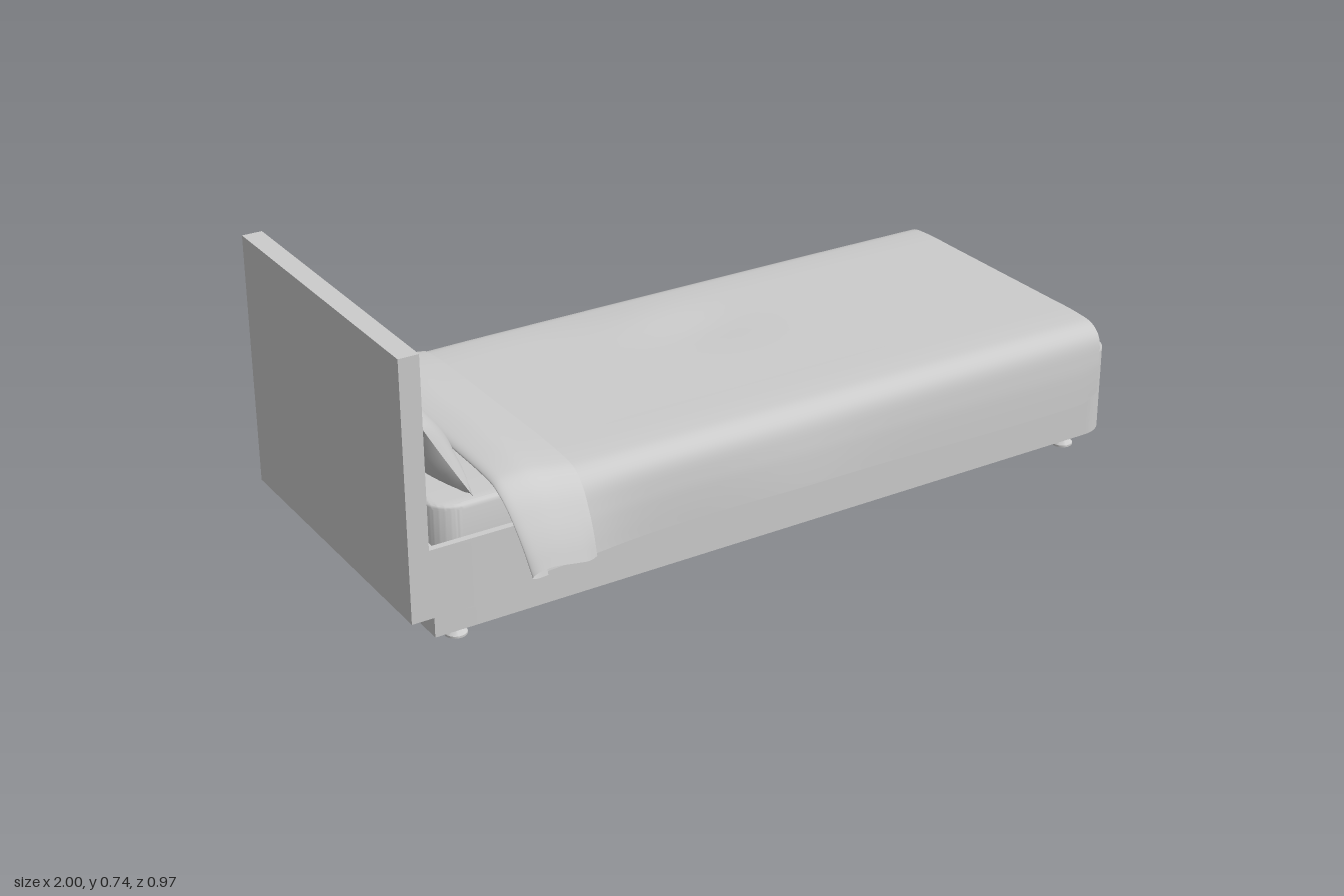
import * as THREE from 'three';
import { mergeGeometries, toCreasedNormals } from 'three/addons/utils/BufferGeometryUtils.js';

const ZC = -0.005; // bed centre line

export function createModel() {
  const bed = new THREE.Group();
  bed.name = 'bed';
  const grey = new THREE.MeshStandardMaterial({ color: 0xcccccc });
  const cloth = new THREE.MeshStandardMaterial({ color: 0xcccccc, side: THREE.DoubleSide });

  const add = (name, geo, x = 0, y = 0, z = 0, mat = grey) => {
    const m = new THREE.Mesh(geo, mat);
    m.name = name;
    m.position.set(x, y, z);
    bed.add(m);
    return m;
  };

  // Plan outline with separate corner radii at the head and foot ends
  const outline = (x0, x1, h, rHead, rFoot, P = THREE.Shape) => {
    const s = new P();
    s.moveTo(x0 + rHead, -h);
    s.lineTo(x1 - rFoot, -h);
    s.absarc(x1 - rFoot, -h + rFoot, rFoot, -Math.PI / 2, 0);
    s.absarc(x1 - rFoot, h - rFoot, rFoot, 0, Math.PI / 2);
    s.lineTo(x0 + rHead, h);
    if (rHead) {
      s.absarc(x0 + rHead, h - rHead, rHead, Math.PI / 2, Math.PI);
      s.absarc(x0 + rHead, -h + rHead, rHead, Math.PI, Math.PI * 1.5);
    }
    s.closePath();
    return s;
  };
  const slab = (shape, depth, bevel = 0) => {
    const g = new THREE.ExtrudeGeometry(shape, {
      depth: depth - 2 * bevel, curveSegments: 12, bevelEnabled: bevel > 0,
      bevelSize: bevel, bevelThickness: bevel, bevelOffset: -bevel, bevelSegments: 4,
    });
    g.translate(0, 0, bevel).rotateX(-Math.PI / 2);
    return toCreasedNormals(g, 0.6);
  };

  // Base: hollow tray with rounded foot corners
  const rim = outline(-0.95, 1, 0.405, 0, 0.085);
  rim.holes.push(outline(-0.935, 0.975, 0.388, 0, 0.075, THREE.Path));
  add('baseSides', slab(rim, 0.17), 0, 0.1, ZC);
  add('baseFloor', slab(outline(-0.945, 1, 0.405, 0, 0.085), 0.05), 0, 0.05, ZC);

  // Mattress and its pull tab
  add('mattress', slab(outline(-0.92, 0.955, 0.382, 0.07, 0.08), 0.245, 0.012), 0, 0.1, ZC);
  const tab = new THREE.CylinderGeometry(0.019, 0.019, 0.014, 20, 1, false, 0, Math.PI);
  tab.rotateZ(Math.PI / 2).scale(1, 0.9, 1);
  add('pullTab', tab, 0.958, 0.272, 0, cloth);

  // Headboard: framed front with a recess, back panel and ledge
  const front = new THREE.Shape();
  front.moveTo(-0.405, 0.1).lineTo(0.405, 0.1).lineTo(0.405, 0.74).lineTo(-0.405, 0.74).closePath();
  const recess = new THREE.Path();
  recess.moveTo(-0.375, 0.58).lineTo(-0.375, 0.71).lineTo(0.375, 0.71).lineTo(0.375, 0.58).closePath();
  front.holes.push(recess);
  const frame = new THREE.ExtrudeGeometry(front, { depth: 0.03, bevelEnabled: false });
  add('headboardFrame', frame.rotateY(Math.PI / 2), -0.98, 0, ZC);
  add('headboardBack', new THREE.BoxGeometry(0.02, 0.64, 0.81), -0.99, 0.42, ZC);
  add('headboardLedge', new THREE.BoxGeometry(0.018, 0.03, 0.75), -0.971, 0.595, ZC);

  // Feet
  const footProfile = [[0, 0], [0.027, 0], [0.027, 0.005], [0.011, 0.018], [0.008, 0.022],
    [0.008, 0.036], [0.016, 0.038], [0.016, 0.051], [0, 0.051]].map(p => new THREE.Vector2(...p));
  const foot = toCreasedNormals(new THREE.LatheGeometry(footProfile, 24), 0.6);
  for (const x of [-0.86, 0.9]) for (const z of [0.33, -0.305]) add('foot', foot, x, 0, z);

  // Pillows: two bulged sheets meeting at a pinched seam
  const pillowSide = sign => {
    const g = new THREE.PlaneGeometry(2, 2, 28, 22);
    const p = g.attributes.position;
    for (let i = 0; i < p.count; i++) {
      const u = p.getX(i), v = p.getY(i);
      const bulge = Math.pow((1 - u * u) * (1 - v * v), 0.5);
      const crease = 0.0015 * Math.sin(9 * u + 4 * v) * bulge;
      p.setXYZ(i, 0.175 * u * (1 - 0.05 * (1 - v * v) * u * u),
        0.122 * v * (1 - 0.1 * (1 - u * u) * v * v), 0.05 * bulge + crease);
    }
    if (sign < 0) g.rotateY(Math.PI);
    g.computeVertexNormals();
    return g;
  };
  const pillowGeo = mergeGeometries([pillowSide(1), pillowSide(-1)]);
  pillowGeo.rotateX(-0.53).rotateY(Math.PI / 2);
  for (const z of [0.181, -0.185]) add('pillow', pillowGeo, -0.878, 0.452, z);

  // Draped cloth: half cross-sections [z, y], close-hanging and flared
  const section = pts => new THREE.CatmullRomCurve3(pts.map(p => new THREE.Vector3(0, p[1], p[0])));
  const hanging = section([[0, 0.355], [0.18, 0.355], [0.32, 0.354], [0.375, 0.346], [0.405, 0.32],
    [0.418, 0.26], [0.422, 0.21], [0.424, 0.157]]);
  const flared = section([[0, 0.357], [0.18, 0.357], [0.32, 0.352], [0.37, 0.343], [0.41, 0.315],
    [0.445, 0.265], [0.468, 0.22], [0.485, 0.175]]);

  // Path gives x, lift and flare from head to foot; ripple moves each point
  const drape = (name, path, rows, ripple) => {
    const rail = new THREE.CatmullRomCurve3(path.map(p => new THREE.Vector3(...p)), false, 'centripetal');
    const g = new THREE.PlaneGeometry(2, 2, rows, 64);
    const p = g.attributes.position;
    for (let i = 0; i < p.count; i++) {
      const r = rail.getPoint((p.getX(i) + 1) / 2), t = p.getY(i);
      const a = hanging.getPoint(Math.abs(t)).lerp(flared.getPoint(Math.abs(t)), r.z);
      const side = t < 0 ? -1 : 1;
      const q = new THREE.Vector3(r.x, a.y + r.y, a.z * side + ZC);
      ripple(q, side, Math.min(1, Math.max(0, (0.34 - a.y) / 0.18)));
      p.setXYZ(i, q.x, q.y, q.z);
    }
    g.computeVertexNormals();
    add(name, g, 0, 0, 0, cloth);
  };
  const bump = (x, c, w) => Math.exp(-(((x - c) / w) ** 2));

  drape('blanket', [[-0.755, 0, 0.5], [-0.6, 0, 0.35], [-0.4, 0, 0], [0, 0, 0], [0.5, 0, 0], [0.94, -0.002, 0]],
    90, (q, side, drop) => {
      // Soft folds on the hanging sides, a gentle dent on top
      const wave = side < 0 ? 0.027 * bump(q.x, 0.36, 0.15) + 0.008 * bump(q.x, 0.9, 0.1)
        : 0.008 * bump(q.x, 0, 0.2);
      q.z += side * drop * wave;
      q.y += drop * (0.007 * Math.sin(4 * q.x + 2) + 0.03 * bump(q.x, 0.96, 0.04));
      q.y += (1 - drop) * 0.005 * (bump(q.x, -0.05, 0.16) * bump(q.z, -0.22, 0.1)
        - bump(q.x, 0.1, 0.12) * bump(q.z, -0.12, 0.09));
      q.x -= drop * 0.012 * bump(q.x, 0.94, 0.05) - drop * 0.03 * bump(q.x, -0.755, 0.06);
    });

  drape('blanketFold', [[-0.7, 0.003, 0.75], [-0.75, 0.004, 0.85], [-0.765, 0.012, 0.95], [-0.745, 0.021, 1],
    [-0.69, 0.024, 1], [-0.63, 0.016, 1], [-0.565, 0.007, 1]],
    36, (q, side, drop) => {
      // Lower corners draw inward
      q.x += drop * (0.03 * bump(q.x, -0.77, 0.06) - 0.012 * bump(q.x, -0.565, 0.04));
      q.y -= drop * 0.012;
      q.y += drop * drop * 0.018 * bump(q.x, -0.565, 0.02);
    });

  return bed;
}
